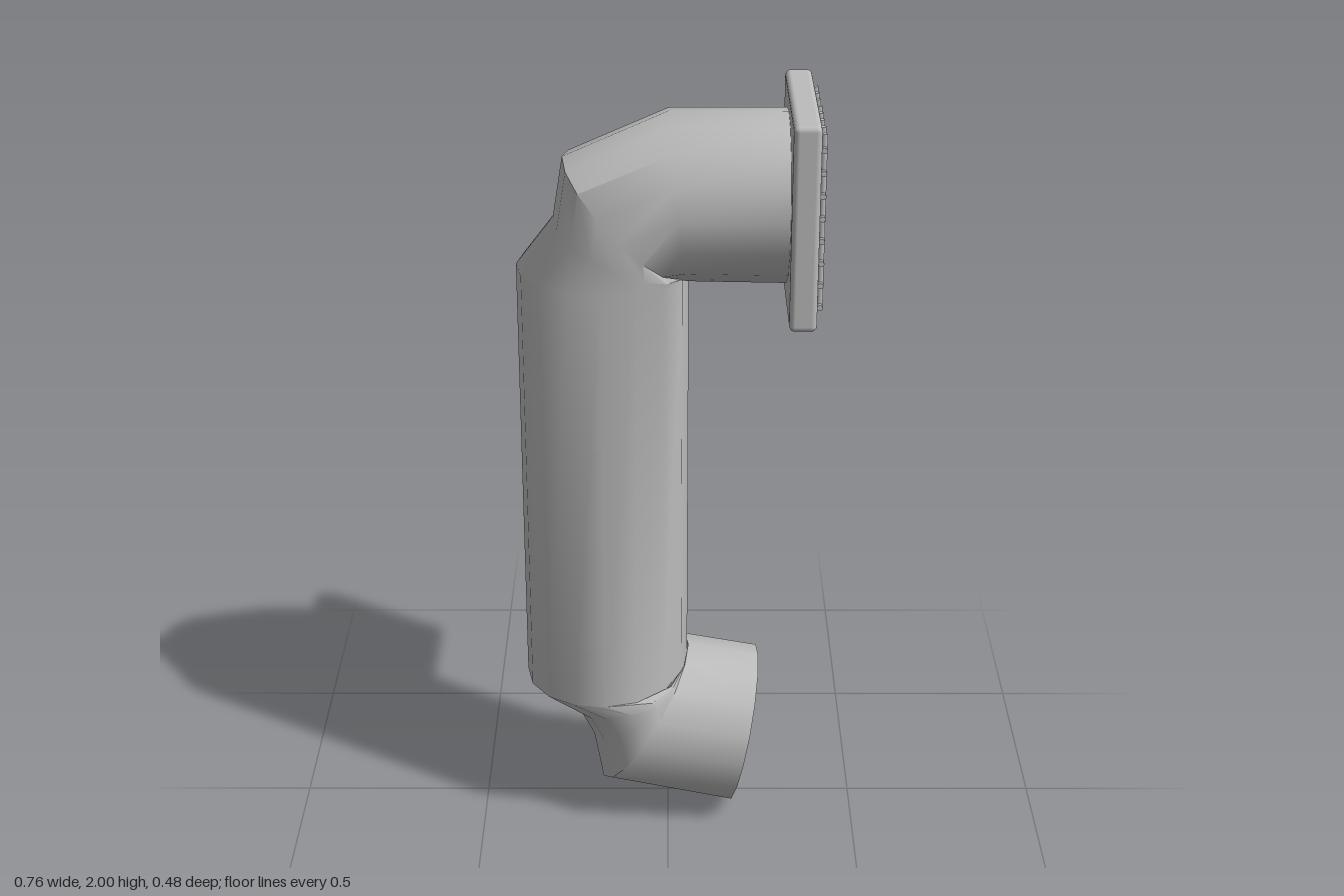
import * as THREE from 'three';
import { toCreasedNormals } from 'three/addons/utils/BufferGeometryUtils.js';
import { RoundedBoxGeometry } from 'three/addons/geometries/RoundedBoxGeometry.js';

const SIDES = 16;
const Z_CENTRE = -0.013;
const Z_RADIUS = 0.218;

// Each ring: outer point (x, y) and inner point (x, y) of the bend, then its twist in steps
const RINGS = [
  [0.3, 1.96, 0.3, 1.53, 0],
  [0.0, 1.96, 0.05, 1.535, 0],
  [-0.26, 1.845, 0.03, 1.545, 0],
  [-0.285, 1.69, 0.045, 1.55, 0],
  [-0.38, 1.565, 0.052, 1.555, 0],
  [-0.38, 0.39, 0.052, 0.41, -1],
  [-0.25, 0.305, 0.053, 0.445, -1],
  [-0.21, 0.225, 0.054, 0.458, -1],
  [-0.185, 0.08, 0.055, 0.465, -1],
  [0.16, 0.005, 0.245, 0.43, -1],
];

// Closed, capped duct lofted through the rings
function ductGeometry() {
  const pos = [];
  const index = [];
  for (const [ox, oy, ix, iy, twist] of RINGS) {
    for (let j = 0; j < SIDES; j++) {
      const t = ((j + twist) / SIDES) * Math.PI * 2;
      const k = (1 + Math.cos(t)) / 2;
      pos.push(ix + (ox - ix) * k, iy + (oy - iy) * k, Z_CENTRE + Z_RADIUS * Math.sin(t));
    }
  }
  const last = RINGS.length - 1;
  for (let i = 0; i < last; i++) {
    for (let j = 0; j < SIDES; j++) {
      const n = (j + 1) % SIDES;
      const a = i * SIDES + j, d = i * SIDES + n;
      index.push(a, a + SIDES, d + SIDES, a, d + SIDES, d);
    }
  }
  // End caps as fans
  for (let j = 1; j < SIDES - 1; j++) {
    const e = last * SIDES;
    index.push(0, j, j + 1, e, e + j + 1, e + j);
  }
  const g = new THREE.BufferGeometry();
  g.setAttribute('position', new THREE.Float32BufferAttribute(pos, 3));
  g.setIndex(index);
  return toCreasedNormals(g, 0.7);
}

export function createModel() {
  const model = new THREE.Group();
  model.name = 'ventDuct';
  const metal = new THREE.MeshStandardMaterial({ color: 0xbcbcbc });
  metal.name = 'grey metal';

  const add = (name, geometry, x, y, z, parent = model) => {
    const mesh = new THREE.Mesh(geometry, metal);
    mesh.name = name;
    mesh.position.set(x, y, z);
    parent.add(mesh);
    return mesh;
  };

  add('ductPipe', ductGeometry(), 0, 0, 0);

  // Square flange at the top mouth
  add('flangePlate', new RoundedBoxGeometry(0.067, 0.517, 0.48, 3, 0.014), 0.3265, 1.7415, 0);

  // Wire grille of crossing round bars
  const grille = new THREE.Group();
  grille.name = 'grille';
  model.add(grille);
  const upright = new THREE.CylinderGeometry(0.0075, 0.0075, 0.445, 8);
  const crossbar = new THREE.CylinderGeometry(0.0075, 0.0075, 0.425, 8);
  for (let i = 0; i < 8; i++) {
    add('grilleUpright', upright, 0.368, 1.743, -0.201 + i * 0.0545, grille);
    add('grilleCrossbar', crossbar, 0.368, 1.532 + i * 0.0567, -0.013, grille).rotation.x = Math.PI / 2;
  }
  return model;
}
